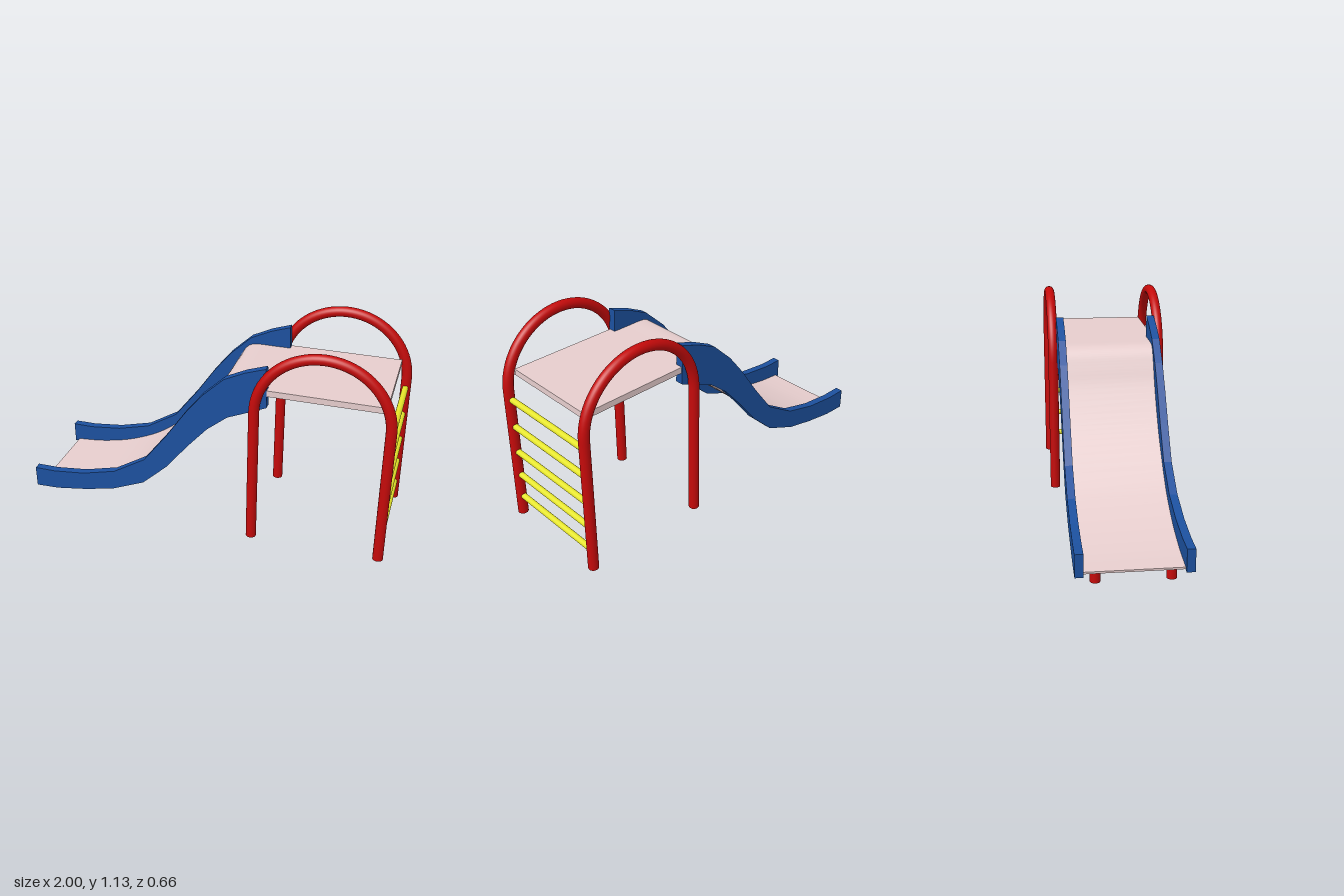
import * as THREE from 'three';
import { toCreasedNormals } from 'three/addons/utils/BufferGeometryUtils.js';

const mat = (name, color) => {
  const m = new THREE.MeshStandardMaterial({ color });
  m.name = name;
  return m;
};

export function createModel() {
  const red = mat('red tube', 0xc40a0a);
  const blue = mat('blue side', 0x1c509e);
  const yellow = mat('yellow rung', 0xe6e62a);
  const pale = mat('pale pink deck', 0xe6cdcd);

  const model = new THREE.Group();
  model.name = 'playgroundSlide';
  const add = (name, geometry, material, x = 0, y = 0, z = 0, parent = model) => {
    const mesh = new THREE.Mesh(geometry, material);
    mesh.name = name;
    mesh.position.set(x, y, z);
    parent.add(mesh);
    return mesh;
  };

  // Extrude a side profile (x, y) across z, centred on z = 0
  const extrudeProfile = (points, width) => {
    const g = new THREE.ExtrudeGeometry(new THREE.Shape(points), { depth: width, bevelEnabled: false });
    return g.translate(0, 0, -width / 2);
  };
  const vec = ([x, y]) => new THREE.Vector2(x, y);

  // Arched frames: two posts joined by a half ring, one on each side
  const postX = [0.285, 0.9715], tube = 0.0275, springY = 0.759;
  const archRadius = (postX[1] - postX[0]) / 2, archX = (postX[0] + postX[1]) / 2;
  for (const side of [1, -1]) {
    const frame = new THREE.Group();
    frame.name = side > 0 ? 'frontArchFrame' : 'backArchFrame';
    frame.position.z = side * 0.302;
    model.add(frame);
    for (const x of postX) {
      add('post', new THREE.CylinderGeometry(tube, tube, springY, 24), red, x, springY / 2, 0, frame);
    }
    add('arch', new THREE.TorusGeometry(archRadius, tube, 24, 40, Math.PI), red, archX, springY, 0, frame);
  }

  // Ladder rungs between the outer posts
  [0.113, 0.253, 0.398, 0.553, 0.712].forEach((y) => {
    add('ladderRung', new THREE.CylinderGeometry(0.0165, 0.0165, 0.556, 16), yellow, postX[1], y).rotation.x = Math.PI / 2;
  });

  // Platform
  const deckTop = 0.879, deckThickness = 0.033, deckStart = 0.34, deckEnd = 0.94;
  add('platform', new THREE.BoxGeometry(deckEnd - deckStart, deckThickness, 0.55), pale,
    (deckStart + deckEnd) / 2, deckTop - deckThickness / 2);

  // Faceted side walls of the chute
  const wallProfile = [
    [-1, 0.053], [-0.87, 0.057], [-0.7, 0.083], [-0.53, 0.12], [-0.34, 0.2], [-0.2, 0.33],
    [-0.08, 0.48], [0.03, 0.605], [0.14, 0.695], [0.28, 0.755], [0.345, 0.785],
    [0.337, 1.0], [0.23, 0.963], [0.12, 0.91], [0.005, 0.8], [-0.09, 0.68], [-0.2, 0.52],
    [-0.33, 0.35], [-0.51, 0.24], [-0.7, 0.19], [-0.88, 0.17], [-1, 0.17],
  ].map(vec);
  for (const side of [1, -1]) {
    add(side > 0 ? 'frontSlideWall' : 'backSlideWall', extrudeProfile(wallProfile, 0.042), blue, 0, 0, side * 0.259);
  }

  // Sliding bed: level with the platform, over a crest, then easing out; it thins towards the low end
  const bedCurve = new THREE.SplineCurve([
    [-0.975, 0.068], [-0.8, 0.086], [-0.6, 0.137], [-0.4, 0.235], [-0.2, 0.405], [-0.1, 0.52],
    [0, 0.668], [0.05, 0.768], [0.085, 0.835], [0.12, 0.87], [0.17, deckTop], [0.25, deckTop], [deckStart, deckTop],
  ].map(vec));
  const top = [], bottom = [], steps = 60;
  for (let i = 0; i <= steps; i++) {
    const u = i / steps, p = bedCurve.getPoint(u), t = bedCurve.getTangent(u);
    const thickness = THREE.MathUtils.lerp(0.011, deckThickness, THREE.MathUtils.smoothstep(u, 0.4, 0.85));
    top.push(p);
    bottom.push(new THREE.Vector2(p.x + t.y * thickness, p.y - t.x * thickness));
  }
  const bed = extrudeProfile([...bottom, ...top.reverse()], 0.48);
  add('slideBed', toCreasedNormals(bed, 0.6), pale);

  // Short feet under the low end
  for (const z of [0.18, -0.18]) {
    add('slideFoot', new THREE.CylinderGeometry(0.025, 0.025, 0.058, 20), red, -0.935, 0.029, z);
  }

  return model;
}
